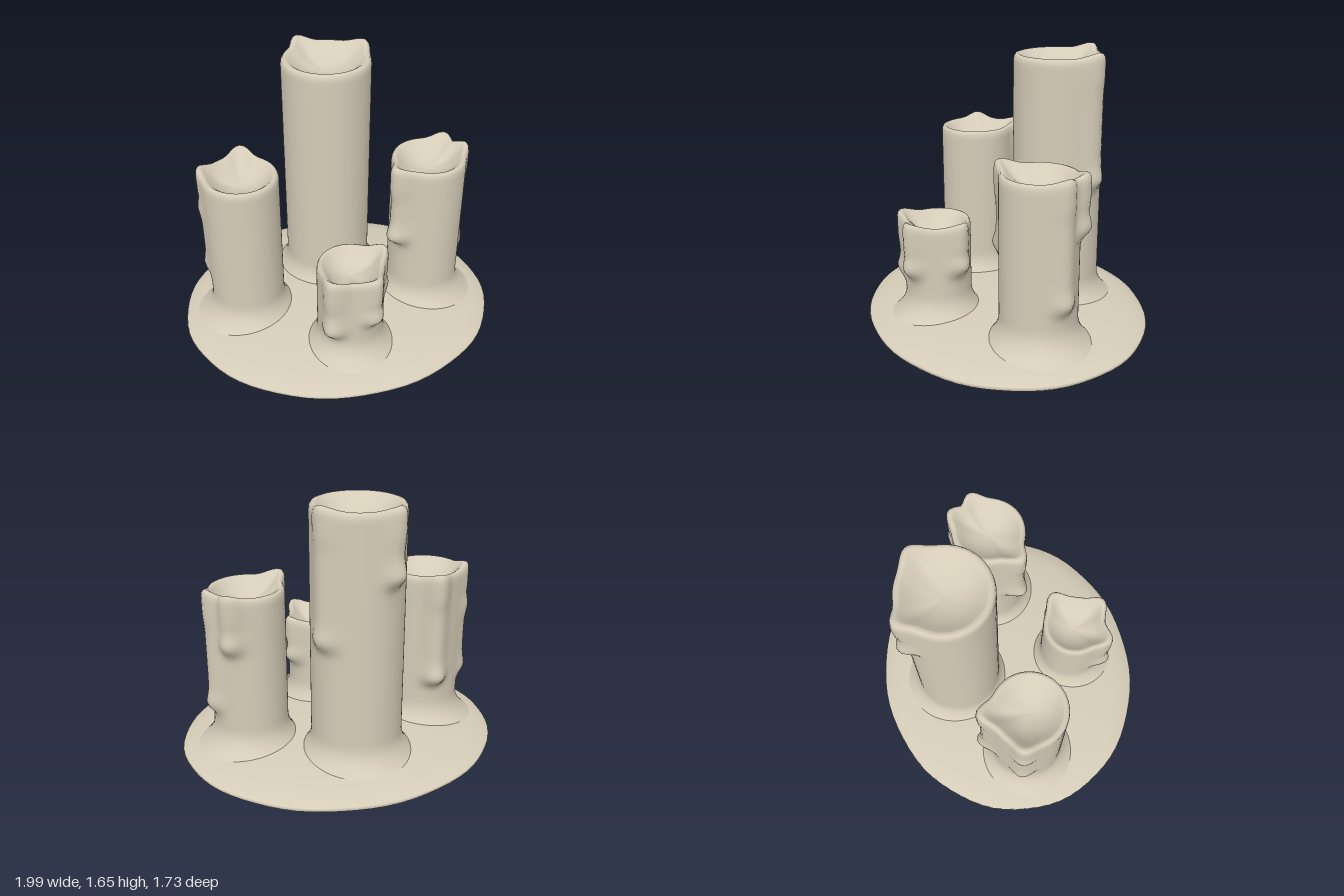
import * as THREE from 'three';

const SEG = 72;

// Smooth closed skin made of rings; ring(row, angle) returns [x, y, z].
// Rows run from the bottom, out along the surface and up to the top.
function skin(rows, ring) {
  const pos = [], index = [];
  rows.forEach((row) => {
    for (let i = 0; i < SEG; i++) pos.push(...ring(row, (i / SEG) * Math.PI * 2));
  });
  for (let j = 0; j < rows.length - 1; j++) {
    if (rows[j].crease) continue; // sharp edge: next row repeats this one
    for (let i = 0; i < SEG; i++) {
      const n = (i + 1) % SEG;
      const a = j * SEG + i, b = j * SEG + n, c = a + SEG, d = b + SEG;
      index.push(a, b, d, a, d, c);
    }
  }
  const geo = new THREE.BufferGeometry();
  geo.setAttribute('position', new THREE.Float32BufferAttribute(pos, 3));
  geo.setIndex(index);
  geo.computeVertexNormals();
  return geo;
}

const gauss = (d) => Math.exp(-d * d);
const smooth = THREE.MathUtils.smoothstep;

// Candle: flared foot, straight wall with wax runs, rounded rim, melted bowl.
// Each drip: direction (dx, dz), how far it stands out, heights of its beads (lowest first).
function candleGeometry({ r, h, drips }) {
  const rows = [];
  for (let k = 0; k <= 8; k++) {
    const t = k / 8;
    rows.push({ y: 0.05 + 0.19 * t, f: 1, flare: 0.11 * (1 - t) ** 2.2 });
  }
  const wall = Math.round((h - 0.28) / 0.025);
  for (let k = 1; k <= wall; k++) rows.push({ y: 0.24 + ((h - 0.28) * k) / wall, f: 1, flare: 0 });
  [[0.985, -0.018], [0.95, -0.004], [0.89, 0], [0.82, -0.012], [0.7, -0.04],
    [0.52, -0.07], [0.3, -0.09], [0.12, -0.097], [0, -0.1]]
    .forEach(([f, dy]) => rows.push({ y: h + dy, f, flare: 0, cap: true }));

  return skin(rows, ({ y, f, flare, cap }, a) => {
    let out = 0, lift = 0;
    for (const { dx, dz, d, beads, w = 0.065 } of drips) {
      let da = a - Math.atan2(dx, dz);
      da = Math.atan2(Math.sin(da), Math.cos(da));
      const across = gauss((da * r) / w);
      const low = beads[0];
      let along = 0.8 * smooth(y, low - 0.09, low + 0.02);
      for (const b of beads) along += 0.4 * gauss((y - b) / 0.07);
      if (y > h - 0.25) along = Math.max(along, 0.8 + 0.2 * smooth(y, h - 0.25, h - 0.1));
      out = Math.max(out, d * across * (cap ? 1 : along));
      lift = Math.max(lift, 0.03 * across);
    }
    const rad = (r + out + flare) * f;
    const up = lift * smooth(y, h - 0.15, h - 0.02) * smooth(f, 0.4, 0.9);
    return [Math.sin(a) * rad, y + up, Math.cos(a) * rad];
  });
}

// Puddle of wax: flat underside, thin uneven rim, gently domed top
function puddleGeometry() {
  const rows = [{ p: 0, y: 0 }, { p: 0.5, y: 0 }, { p: 0.99, y: 0, crease: true },
    { p: 0.99, y: 0 }, { p: 1, y: 0.012 }, { p: 0.995, y: 0.026 }];
  for (let k = 1; k <= 16; k++) {
    const p = 0.98 * (1 - k / 16);
    rows.push({ p, y: 0.035 + 0.085 * (1 - p ** 2.6) });
  }
  return skin(rows, ({ p, y }, a) => {
    const edge = 1 - 0.006 * p * p * (1 + Math.sin(a * 7 + 1) * Math.cos(a * 4));
    return [Math.sin(a) * p * edge * 1.003, y, Math.cos(a) * p * edge * 0.868];
  });
}

export function createModel() {
  const wax = new THREE.MeshStandardMaterial({ color: 0xd5ccb8 });
  wax.name = 'wax';
  const model = new THREE.Group();
  model.name = 'candleCluster';

  const add = (name, geo, x = 0, z = 0) => {
    const mesh = new THREE.Mesh(geo, wax);
    mesh.name = name;
    mesh.position.set(x, 0, z);
    model.add(mesh);
  };

  add('waxPuddle', puddleGeometry());

  add('tallCandle', candleGeometry({
    r: 0.273, h: 1.625,
    drips: [
      { dx: -0.15, dz: -0.31, d: 0.065, beads: [1.26] },
      { dx: 0.28, dz: -0.155, d: 0.05, beads: [0.88], w: 0.08 },
    ],
  }), 0, -0.338);

  add('rightCandle', candleGeometry({
    r: 0.228, h: 1.08,
    drips: [
      { dx: 0.03, dz: -0.31, d: 0.08, beads: [0.42] },
      { dx: -0.25, dz: -0.09, d: 0.04, beads: [0.4, 0.83] },
    ],
  }), -0.578, 0.004);

  add('leftCandle', candleGeometry({
    r: 0.228, h: 1.08,
    drips: [
      { dx: 0.27, dz: -0.07, d: 0.05, beads: [0.38] },
      { dx: 0.18, dz: -0.24, d: 0.055, beads: [0.79] },
      { dx: -0.27, dz: 0.17, d: 0.085, beads: [0.6] },
    ],
  }), 0.57, 0.004);

  add('shortCandle', candleGeometry({
    r: 0.2, h: 0.67,
    drips: [
      { dx: 0.24, dz: -0.1, d: 0.06, beads: [0.42] },
      { dx: 0.13, dz: 0.24, d: 0.06, beads: [0.4] },
      { dx: -0.17, dz: 0.21, d: 0.065, beads: [0.32] },
    ],
  }), 0, 0.438);

  return model;
}
